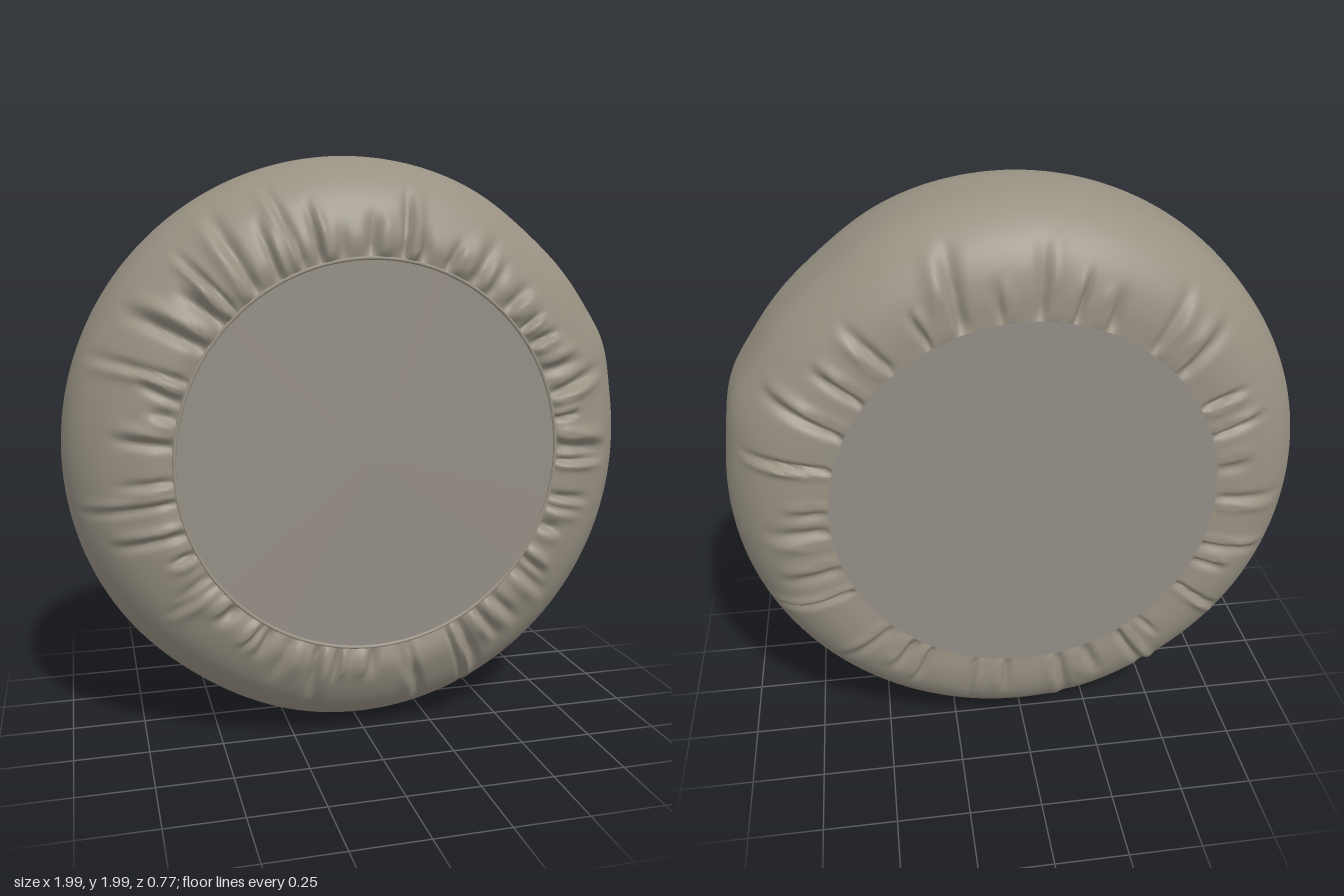
import * as THREE from 'three';

const TAU = Math.PI * 2;

// Small seeded generator for the irregular gathers
function seeded(seed) {
  return () => {
    seed = (seed * 1664525 + 1013904223) % 4294967296;
    return seed / 4294967296;
  };
}

// Radial gathers: uneven spacing, width, length, depth and slant
function makePleats(count, seed, minLen, maxLen) {
  const rnd = seeded(seed);
  return Array.from({ length: count }, (_, i) => ({
    angle: ((i + 0.75 * rnd()) / count) * TAU,
    width: 0.014 + 0.018 * rnd(),
    length: minLen + (maxLen - minLen) * rnd() ** 1.4,
    depth: 0.014 + 0.016 * rnd(),
    slant: (rnd() - 0.5) * 0.35,
    side: rnd() < 0.5 ? -1 : 1,
  }));
}

// Height of all gathers at an angle and a distance from the seam
function pleatHeight(pleats, angle, s) {
  let h = 0;
  for (const p of pleats) {
    if (s >= p.length) continue;
    let d = angle - p.angle - p.slant * s;
    d -= TAU * Math.round(d / TAU);
    if (Math.abs(d) > 0.2) continue;
    d = (d * p.side) / p.width;
    const fade = Math.min(1, s / 0.03) * Math.min(1, (1 - s / p.length) * 2);
    h += p.depth * fade * (0.65 * Math.exp(-((d - 1.7) ** 2) / 1.6) - Math.exp(-d * d));
  }
  return h;
}

// Slight unevenness of the stuffed outline
function lump(angle) {
  const bump = (deg, width, amount) => {
    let d = angle - (deg * Math.PI) / 180;
    d -= TAU * Math.round(d / TAU);
    return amount * Math.exp(-((d / width) ** 2));
  };
  return 1 + bump(21, 0.12, 0.018) + bump(50, 0.2, -0.014) + bump(235, 0.3, -0.012);
}

// Gathered padded wall between the two round panels
function wallGeometry() {
  const curve = new THREE.CatmullRomCurve3([
    [0.65, 0.362], [0.71, 0.373], [0.78, 0.352], [0.88, 0.292], [0.96, 0.19], [0.993, 0.07],
    [0.995, -0.07], [0.975, -0.2], [0.91, -0.3], [0.83, -0.357], [0.74, -0.38], [0.65, -0.38],
  ].map(([r, z]) => new THREE.Vector3(r, z, 0)));
  const rows = 56, cols = 540;
  const total = curve.getLength();
  const front = makePleats(50, 7, 0.1, 0.42);
  const back = makePleats(32, 91, 0.14, 0.4);
  const pos = [], index = [];
  for (let i = 0; i <= rows; i++) {
    const p = curve.getPointAt(i / rows), t = curve.getTangentAt(i / rows);
    const s = (i / rows) * total;
    const blend = Math.sin((Math.PI * i) / rows);
    for (let j = 0; j < cols; j++) {
      const a = (j / cols) * TAU;
      const h = pleatHeight(front, a, s) + pleatHeight(back, a, total - s);
      const r = (p.x - t.y * h) * (1 + (lump(a) - 1) * blend);
      const z = THREE.MathUtils.clamp(p.y + t.x * h, -0.385, 0.382);
      pos.push(r * Math.cos(a), r * Math.sin(a), z);
      if (i < rows) {
        const k = (j + 1) % cols, b = i * cols, c = b + cols;
        index.push(b + j, c + j, b + k, c + j, c + k, b + k);
      }
    }
  }
  const g = new THREE.BufferGeometry();
  g.setAttribute('position', new THREE.Float32BufferAttribute(pos, 3));
  g.setIndex(index);
  g.computeVertexNormals();
  return g;
}

export function createModel() {
  const group = new THREE.Group();
  group.name = 'pouf';
  const fabric = new THREE.MeshStandardMaterial({ color: 0x989183 });
  fabric.name = 'warm grey fabric';
  const panel = new THREE.MeshStandardMaterial({ color: 0x938d84 });
  panel.name = 'grey panel fabric';

  const add = (name, geometry, material, z) => {
    const mesh = new THREE.Mesh(geometry, material);
    mesh.name = name;
    mesh.position.set(0, 1, z);
    group.add(mesh);
    return mesh;
  };

  add('gatheredWall', wallGeometry(), fabric, 0);

  // Flat round panels
  add('frontPanel', new THREE.CircleGeometry(0.651, 128), panel, 0.362);
  add('backPanel', new THREE.CircleGeometry(0.651, 128), panel, -0.38).rotation.y = Math.PI;

  // Thin seam around the front panel
  add('frontSeam', new THREE.TorusGeometry(0.651, 0.006, 8, 160), fabric, 0.364);
  return group;
}
